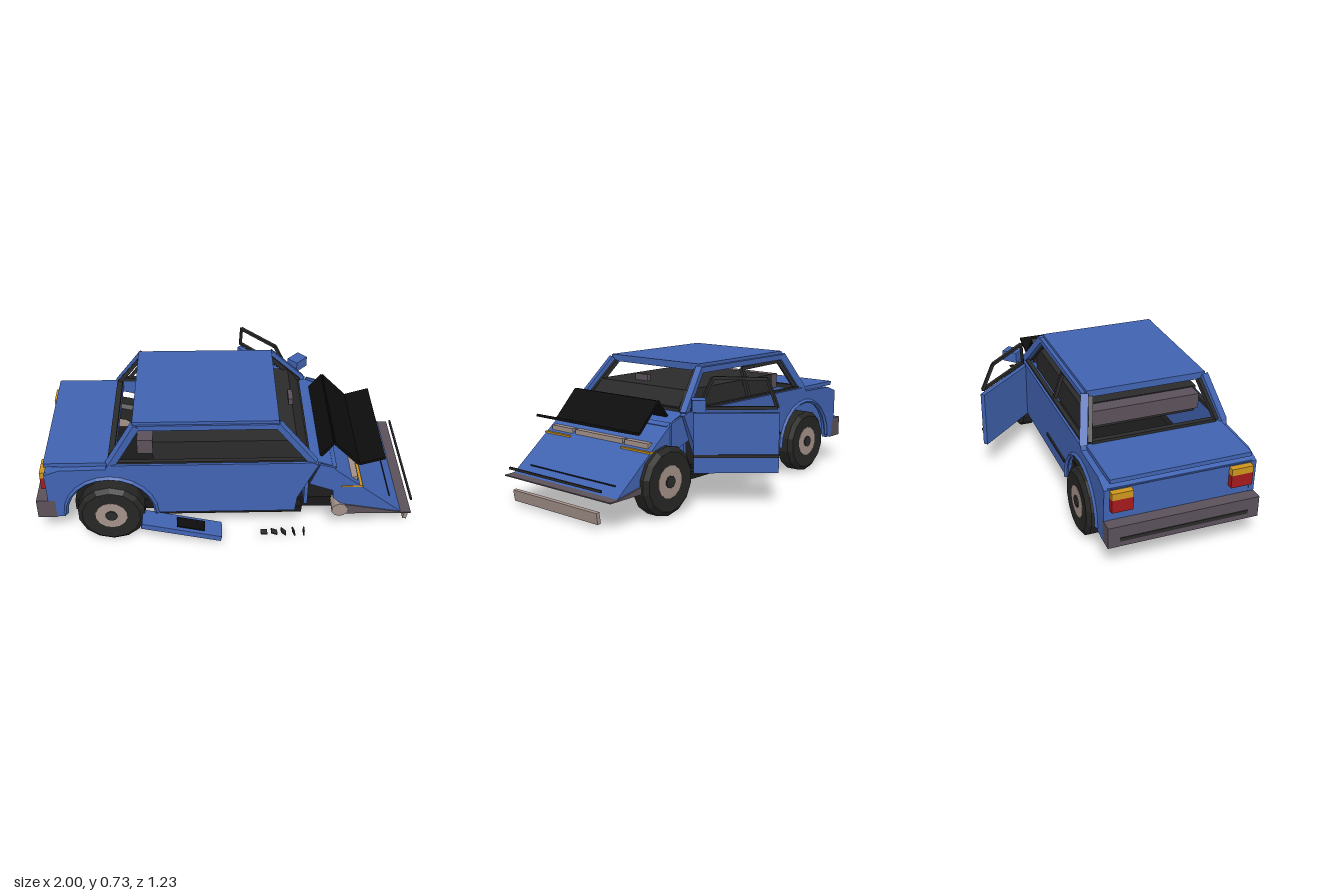
import * as THREE from 'three';

const mat = (name, hex) => {
  const m = new THREE.MeshStandardMaterial({ color: hex, flatShading: true, side: THREE.DoubleSide });
  m.name = name;
  return m;
};

export function createModel() {
  const car = new THREE.Group();
  car.name = 'wreckedCar';
  const blue = mat('bluePaint', 0x4164b2), black = mat('blackSheet', 0x0d0d0d);
  const dark = mat('darkTrim', 0x2b2b2b), tyre = mat('tyreRubber', 0x262625);
  const floorMat = mat('underbody', 0x191919), grey = mat('bumperGrey', 0x5b515a);
  const beige = mat('paleMetal', 0xa39189), red = mat('tailRed', 0xa51a1c), amber = mat('amber', 0xcf961c);
  const MID = 0.12; // z of the body's centre line
  const V = (x, y, z) => new THREE.Vector3(x, y, z);

  const add = (name, geo, m, parent = car) => {
    const mesh = new THREE.Mesh(geo, m);
    mesh.name = name;
    parent.add(mesh);
    return mesh;
  };
  // box given by its limits
  const box = (name, m, x0, x1, y0, y1, z0, z1, parent = car) => {
    const b = add(name, new THREE.BoxGeometry(x1 - x0, y1 - y0, z1 - z0), m, parent);
    b.position.set((x0 + x1) / 2, (y0 + y1) / 2, (z0 + z1) / 2);
    return b;
  };
  // square bar between two points
  const beam = (name, m, a, b, w, h = w, parent = car) => {
    const bar = add(name, new THREE.BoxGeometry(w, h, a.distanceTo(b)), m, parent);
    bar.position.copy(a).lerp(b, 0.5);
    bar.quaternion.setFromRotationMatrix(new THREE.Matrix4().lookAt(a, b, V(0, 1, 0)));
    return bar;
  };
  const chain = (name, m, pts, w, parent = car) => {
    for (let i = 1; i < pts.length; i++) beam(name, m, pts[i - 1], pts[i], w, w, parent);
  };
  // x-y outline pushed along z
  const slab = (name, m, pts, z0, z1) => {
    const shape = new THREE.Shape(pts.map(p => new THREE.Vector2(p[0], p[1])));
    const s = add(name, new THREE.ExtrudeGeometry(shape, { depth: z1 - z0, bevelEnabled: false }), m);
    s.position.z = z0;
    return s;
  };

  // body sides with rear wheel arch
  const side = new THREE.Shape();
  side.moveTo(-0.935, 0.17);
  side.lineTo(-0.855, 0.17);
  side.absarc(-0.61, 0.19, 0.24, Math.PI, 0, true);
  [[0.36, 0.19], [0.37, 0.28], [0.41, 0.37], [0.47, 0.5], [0.44, 0.515], [-0.61, 0.515],
    [-0.62, 0.49], [-0.86, 0.485], [-0.94, 0.455]].forEach(p => side.lineTo(...p));
  for (const s of [-1, 1]) {
    const g = add('bodySide', new THREE.ExtrudeGeometry(side, { depth: 0.03, bevelEnabled: false, curveSegments: 10 }), blue);
    g.position.z = MID + s * 0.385 - 0.015;
    // raised wheel arch lip
    const lip = add('archLip', new THREE.TorusGeometry(0.24, 0.012, 4, 12, Math.PI), blue);
    lip.position.set(-0.61, 0.19, MID + s * 0.4);
    // torn piece of front fender
    const z = MID + s * 0.39;
    slab('tornFender', blue, [[0.43, 0.37], [0.48, 0.5], [0.56, 0.475], [0.56, 0.32]], z - 0.006, z + 0.006);
    box('beltTrim', dark, -0.6, 0.43, 0.505, 0.525, MID + s * 0.375 - 0.012, MID + s * 0.375 + 0.012);
    // cabin pillars, leaning inward
    const zb = MID + s * 0.38, zt = MID + s * 0.325;
    beam('frontPillar', blue, V(0.45, 0.505, zb), V(0.26, 0.715, zt), 0.035);
    beam('rearPillar', blue, V(-0.6, 0.505, zb), V(-0.46, 0.715, zt), 0.04);
    beam('roofRail', blue, V(-0.46, 0.705, zt), V(0.26, 0.705, zt), 0.03);
    // dark seals beside the pillars
    beam('windscreenSeal', dark, V(0.43, 0.515, zb - s * 0.035), V(0.26, 0.7, zt - s * 0.03), 0.022);
    beam('rearWindowSeal', dark, V(-0.6, 0.515, zb - s * 0.035), V(-0.47, 0.7, zt - s * 0.03), 0.022);
  }
  box('roof', blue, -0.475, 0.265, 0.7, 0.737, -0.2, 0.45);
  box('windscreenSill', dark, 0.4, 0.43, 0.5, 0.525, -0.22, 0.46);
  box('rearWindowSill', dark, -0.61, -0.58, 0.5, 0.525, -0.22, 0.46);

  // tail, boot and floor
  box('rearPanel', blue, -0.935, -0.915, 0.17, 0.46, -0.26, 0.5);
  slab('bootDeck', blue, [[-0.94, 0.455], [-0.86, 0.485], [-0.58, 0.5], [-0.58, 0.46], [-0.92, 0.44]], -0.25, 0.49);
  box('bootLid', blue, -0.94, -0.6, 0.487, 0.51, -0.25, 0.49);
  box('floor', floorMat, -0.81, 0.88, 0.145, 0.21, -0.2, 0.44);
  box('floorSill', floorMat, -0.36, 0.4, 0.15, 0.19, -0.25, 0.49);
  box('firewall', blue, 0.41, 0.43, 0.2, 0.5, -0.24, 0.48);

  // rear bumper and lamps
  box('rearBumper', grey, -1, -0.935, 0.165, 0.28, -0.28, 0.52);
  for (const [a, b] of [[-0.28, -0.25], [0.49, 0.52]]) box('rearBumperEnd', grey, -0.935, -0.9, 0.165, 0.28, a, b);
  box('rearBumperStrip', dark, -1.004, -1, 0.195, 0.215, -0.22, 0.46);
  for (const [a, b] of [[-0.25, -0.14], [0.375, 0.49]]) {
    box('tailLamp', red, -0.968, -0.935, 0.34, 0.41, a, b);
    box('rearIndicator', amber, -0.968, -0.935, 0.41, 0.447, a, b);
  }

  // cabin interior
  box('interior', dark, -0.38, 0.36, 0.46, 0.61, -0.2, 0.45);
  slab('dashboard', dark, [[0.36, 0.46], [0.42, 0.46], [0.42, 0.53], [0.36, 0.61]], -0.2, 0.45);
  box('rearSeatTop', grey, -0.46, -0.38, 0.52, 0.605, -0.18, 0.43);
  box('rearViewMirror', grey, 0.335, 0.36, 0.63, 0.665, 0.08, 0.17);

  // crushed nose
  slab('cowl', blue, [[0.42, 0.51], [0.47, 0.5], [0.57, 0.46], [0.55, 0.42], [0.42, 0.47]], -0.25, 0.49);
  slab('crushedBonnet', blue, [[0.545, 0.475], [0.93, 0.165], [0.62, 0.215], [0.56, 0.27]], -0.265, 0.515);
  slab('crushedBumper', grey, [[0.62, 0.225], [0.93, 0.165], [0.985, 0.163], [0.985, 0.157], [0.62, 0.16]], -0.275, 0.52);
  box('bumperStrip', dark, 0.985, 0.995, 0.203, 0.215, -0.22, 0.47);
  for (const [a, b] of [[0.32, 0.485], [-0.235, -0.07], [-0.055, 0.3]])
    box(a === -0.055 ? 'grillePanel' : 'headLamp', beige, 0.59, 0.685, 0.352, 0.388, a, b);
  for (const [a, b] of [[0.32, 0.517], [-0.267, -0.065]]) box('frontIndicator', amber, 0.6, 0.71, 0.345, 0.354, a, b);
  const plate = box('fallenNosePlate', beige, 0.973, 0.993, 0.04, 0.1, -0.19, 0.44);
  plate.rotation.z = -0.15;

  // buckled black sheet above the nose
  const fold = [[0.48, 0.475], [0.555, 0.575], [0.695, 0.43], [0.83, 0.47]];
  for (let i = 1; i < fold.length; i++) {
    const [a, b] = [fold[i - 1], fold[i]];
    const p = add('buckledSheet', new THREE.BoxGeometry(Math.hypot(b[0] - a[0], b[1] - a[1]), 0.014, 0.62), black);
    p.position.set((a[0] + b[0]) / 2, (a[1] + b[1]) / 2, 0.125);
    p.rotation.z = Math.atan2(b[1] - a[1], b[0] - a[0]);
  }

  // three wheels and one bare hub
  const disc = (name, m, r, z0, z1, n, parent) => {
    const d = add(name, new THREE.CylinderGeometry(r, r, z1 - z0, n), m, parent);
    d.rotation.x = Math.PI / 2;
    d.position.z = (z0 + z1) / 2;
  };
  const tyreProfile = [[0.08, -0.055], [0.16, -0.055], [0.18, -0.035], [0.18, 0.035], [0.155, 0.055], [0.08, 0.05]]
    .map(p => new THREE.Vector2(...p));
  for (const [x, z, s] of [[-0.61, 0.49, 1], [-0.61, -0.25, -1], [0.6, -0.25, -1]]) {
    const w = new THREE.Group();
    w.name = 'wheel';
    w.position.set(x, 0.19, z);
    if (s < 0) w.rotation.y = Math.PI;
    car.add(w);
    add('tyre', new THREE.LatheGeometry(tyreProfile, 14), tyre, w).rotation.x = Math.PI / 2;
    disc('rim', beige, 0.085, -0.04, 0.052, 14, w);
    disc('hubCentre', dark, 0.032, 0.05, 0.058, 10, w);
  }
  const hub = new THREE.Group();
  hub.name = 'bareHub';
  hub.position.set(0.6, 0.19, 0.49);
  car.add(hub);
  disc('hub', beige, 0.043, -0.06, 0.035, 10, hub);

  // left rear window frame and side strip
  chain('rearDoorFrame', dark, [V(-0.54, 0.53, -0.245), V(-0.44, 0.682, -0.2), V(-0.1, 0.675, -0.2), V(-0.1, 0.52, -0.25)], 0.02);
  box('sideStrip', dark, -0.36, -0.05, 0.27, 0.285, -0.288, -0.28);

  // left front door, swung open
  const door = new THREE.Group();
  door.name = 'openDoor';
  door.position.set(0.4, 0, -0.28);
  door.rotation.y = Math.atan2(0.75, -0.66);
  car.add(door);
  box('doorPanel', blue, 0, 0.44, 0.19, 0.505, -0.025, 0, door);
  box('doorStrip', dark, 0, 0.44, 0.272, 0.288, 0, 0.007, door);
  chain('doorWindowFrame', dark, [V(0.03, 0.53, -0.01), V(0.1, 0.68, -0.05), V(0.38, 0.673, -0.05), V(0.43, 0.53, -0.01), V(0.03, 0.53, -0.01)], 0.016, door);
  const mirror = box('sideMirror', blue, 0.385, 0.475, 0.53, 0.59, -0.375, -0.305);
  mirror.rotation.y = Math.PI / 4;

  // fallen sill panel and broken strip pieces
  const sill = new THREE.Group();
  sill.name = 'fallenSill';
  sill.position.set(-0.24, 0.125, 0.56);
  sill.rotation.z = -0.235;
  car.add(sill);
  box('sillPanel', blue, -0.215, 0.215, -0.016, 0.016, -0.06, 0.052, sill);
  box('sillPatch', black, -0.03, 0.12, 0.016, 0.022, -0.04, 0.03, sill);
  [0.2, 0.255, 0.305, 0.36, 0.415].forEach((x, i) => {
    const p = add('stripPiece', new THREE.BoxGeometry(0.035, 0.007, 0.035), dark);
    p.position.set(x, 0.05, 0.538);
    p.rotation.z = -i * Math.PI / 8;
  });
  return car;
}
